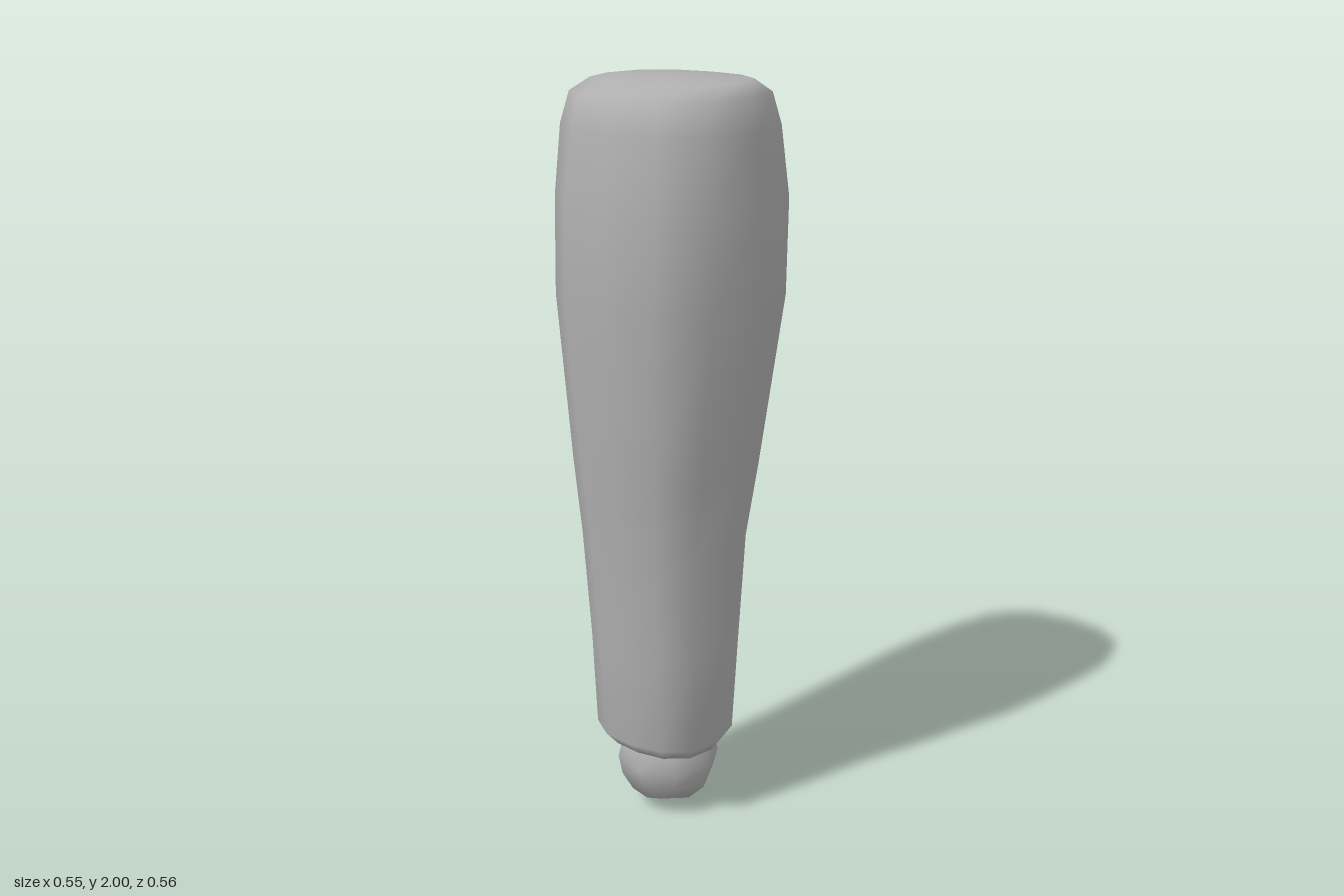
import * as THREE from 'three';

const grey = new THREE.MeshStandardMaterial({ color: 0xb0b0b0 });
grey.name = 'grey';

// Twelve-sided, slightly squared section, counter-clockwise from +x towards -z
const SECTION = [
  [1, 0], [0.88, 0.6], [0.5, 0.92], [0, 1], [-0.5, 0.92], [-0.88, 0.6],
  [-1, 0], [-0.88, -0.6], [-0.5, -0.92], [0, -1], [0.5, -0.92], [0.88, -0.6],
];

// Loft through rows of [y, xMin, xMax, zMin, zMax], closed by a centre point at each end
function loft(rows, bottomY, topY) {
  const n = SECTION.length, pos = [], index = [];
  for (const [y, x0, x1, z0, z1] of rows) {
    for (const [u, v] of SECTION) {
      pos.push((x0 + x1) / 2 + u * (x1 - x0) / 2, y, (z0 + z1) / 2 - v * (z1 - z0) / 2);
    }
  }
  for (let r = 0; r < rows.length - 1; r++) {
    for (let i = 0; i < n; i++) {
      const a = r * n + i, b = r * n + (i + 1) % n;
      index.push(a, b, b + n, a, b + n, a + n);
    }
  }
  const low = rows.length * n, high = low + 1, last = low - n;
  pos.push(-0.01, bottomY, 0, 0, topY, 0);
  for (let i = 0; i < n; i++) {
    const j = (i + 1) % n;
    index.push(low, j, i, high, last + i, last + j);
  }
  const g = new THREE.BufferGeometry();
  g.setAttribute('position', new THREE.Float32BufferAttribute(pos, 3));
  g.setIndex(index);
  g.computeVertexNormals();
  return g;
}

export function createModel() {
  const model = new THREE.Group();
  model.name = 'limb';

  // Tapered body with rounded ends
  const body = new THREE.Mesh(loft([
    [0.195, -0.165, 0.14, -0.13, 0.14],
    [0.23, -0.2, 0.165, -0.15, 0.168],
    [0.5, -0.205, 0.185, -0.152, 0.188],
    [0.8, -0.22, 0.2, -0.172, 0.215],
    [1.0, -0.24, 0.225, -0.205, 0.237],
    [1.45, -0.277, 0.27, -0.282, 0.281],
    [1.7, -0.277, 0.276, -0.277, 0.275],
    [1.88, -0.262, 0.26, -0.248, 0.255],
    [1.96, -0.24, 0.24, -0.222, 0.232],
    [1.992, -0.2, 0.2, -0.17, 0.17],
  ], 0.19, 2), grey);
  body.name = 'limbBody';
  model.add(body);

  // Ball joint under the body
  const ballGeometry = new THREE.SphereGeometry(0.14, 12, 4);
  ballGeometry.rotateX(Math.PI / 2);
  const ball = new THREE.Mesh(ballGeometry, grey);
  ball.name = 'ballJoint';
  ball.position.set(-0.008, 0.14, 0.005);
  model.add(ball);

  return model;
}
